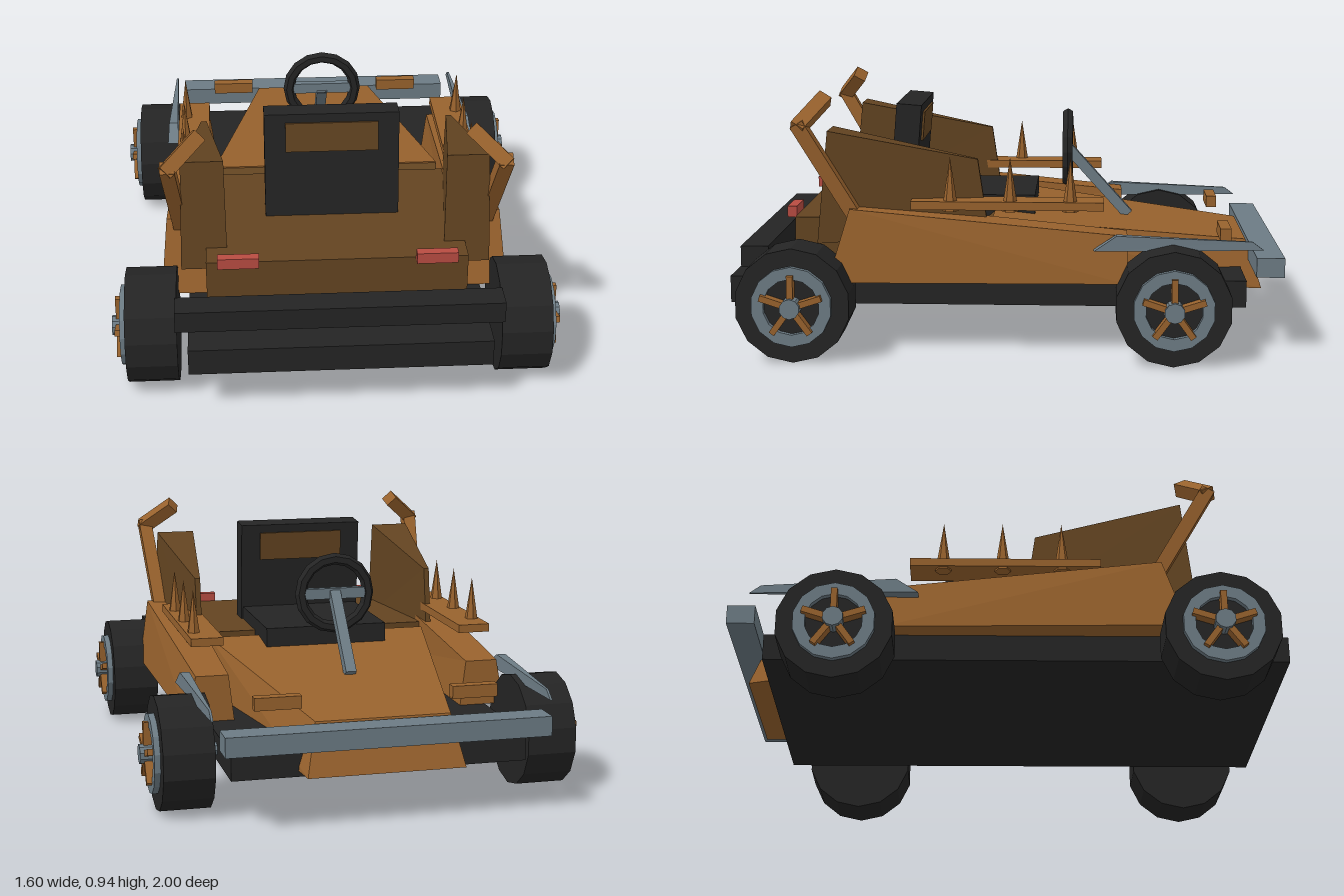
import * as THREE from 'three';

const mat = (name, color) => {
  const m = new THREE.MeshStandardMaterial({ color });
  m.name = name;
  return m;
};

export function createModel() {
  const rust = mat('rust orange', 0x98622d);
  const brown = mat('dark brown', 0x634421);
  const black = mat('black', 0x242424);
  const steel = mat('steel grey', 0x6c7b84);
  const red = mat('red', 0xb84c42);
  const model = new THREE.Group();
  model.name = 'buggy';

  // Faceted mesh
  const add = (name, geo, material, parent = model) => {
    const g = geo.index ? geo.toNonIndexed() : geo;
    g.computeVertexNormals();
    const mesh = new THREE.Mesh(g, material);
    mesh.name = name;
    parent.add(mesh);
    return mesh;
  };
  // Box given by its limits on each axis
  const box = (name, m, [x0, x1], [y0, y1], [z0, z1], parent) =>
    add(name, new THREE.BoxGeometry(Math.abs(x1 - x0), y1 - y0, z1 - z0)
      .translate((x0 + x1) / 2, (y0 + y1) / 2, (z0 + z1) / 2), m, parent);
  // Solid between two four-cornered sections, always facing outward
  const loft = (name, m, a, b, s = 1) => {
    const p = [...a, ...b].map(([x, y, z]) => new THREE.Vector3(x * s, y, z));
    const quads = [[3, 2, 1, 0], [4, 5, 6, 7]];
    for (let i = 0; i < 4; i++) quads.push([i, (i + 1) % 4, 4 + (i + 1) % 4, 4 + i]);
    let tris = quads.flatMap(([i, j, k, l]) => [[i, j, k], [i, k, l]]);
    const c = p.reduce((t, v) => t.add(v), new THREE.Vector3()).divideScalar(8);
    const vol = tris.reduce((t, f) => {
      const [u, v, w] = f.map(i => p[i].clone().sub(c));
      return t + u.dot(v.cross(w));
    }, 0);
    if (vol < 0) tris = tris.map(f => f.reverse());
    return add(name, new THREE.BufferGeometry().setFromPoints(tris.flat().map(i => p[i])), m);
  };
  // Straight bar between two points
  const bar = (name, m, from, to, r, sides = 4) => {
    const a = new THREE.Vector3(...from), b = new THREE.Vector3(...to), d = b.clone().sub(a);
    const g = new THREE.CylinderGeometry(r, r, d.length(), sides).rotateY(Math.PI / 4);
    g.applyQuaternion(new THREE.Quaternion().setFromUnitVectors(
      new THREE.Vector3(0, 1, 0), d.normalize()));
    g.translate(...a.add(b).multiplyScalar(0.5).toArray());
    return add(name, g, m);
  };

  // Chassis, body and bumpers
  box('chassis', black, [-0.527, 0.527], [0.165, 0.262], [-0.87, 1]);
  box('rearBumper', black, [-0.57, 0.57], [0.305, 0.383], [0.85, 0.95]);
  box('frontBumper', steel, [-0.57, 0.57], [0.285, 0.355], [-1, -0.9]);
  loft('hood', rust,
    [[-0.28, 0.18, -0.95], [0.28, 0.18, -0.95], [0.24, 0.36, -0.89], [-0.24, 0.36, -0.89]],
    [[-0.45, 0.25, 0.05], [0.45, 0.25, 0.05], [0.43, 0.465, 0.05], [-0.43, 0.465, 0.05]]);
  loft('cockpitStep', brown,
    [[-0.43, 0.26, 0.05], [0.43, 0.26, 0.05], [0.43, 0.46, 0.05], [-0.43, 0.46, 0.05]],
    [[-0.43, 0.26, 0.12], [0.43, 0.26, 0.12], [0.43, 0.4, 0.12], [-0.43, 0.4, 0.12]]);
  box('rearDeck', brown, [-0.46, 0.46], [0.262, 0.47], [0.12, 0.77]);

  // Seat, leaning slightly forward
  box('seatBase', black, [-0.235, 0.235], [0.4, 0.52], [-0.1, 0.36]);
  const seatBack = new THREE.Group();
  seatBack.name = 'seatBack';
  seatBack.position.set(0, 0.45, 0.405);
  seatBack.rotation.x = -0.08;
  model.add(seatBack);
  box('backrest', black, [-0.243, 0.243], [0, 0.412], [-0.047, 0.047], seatBack);
  box('headPad', brown, [-0.167, 0.167], [0.27, 0.38], [-0.055, 0.055], seatBack);

  // Steering
  add('steeringWheel', new THREE.TorusGeometry(0.13, 0.022, 6, 16)
    .translate(0, 0.67, -0.22), black);
  box('steeringCrossbar', steel, [-0.12, 0.12], [0.65, 0.69], [-0.235, -0.21]);
  bar('steeringColumn', steel, [0, 0.67, -0.22], [0, 0.41, -0.455], 0.028);

  for (const s of [1, -1]) {
    // Side pod with a spiked rail above it
    loft('sidePod', rust,
      [[0.43, 0.262, -0.44], [0.6, 0.262, -0.44], [0.57, 0.43, -0.44], [0.45, 0.43, -0.44]],
      [[0.43, 0.262, 0.63], [0.625, 0.262, 0.63], [0.6, 0.525, 0.55], [0.44, 0.525, 0.55]], s);
    box('spikeRail', rust, [s * 0.45, s * 0.57], [0.52, 0.55], [-0.355, 0.335]);
    for (const z of [0.195, -0.02, -0.235])
      add('spike', new THREE.ConeGeometry(0.03, 0.195, 6).translate(s * 0.54, 0.61, z), rust);

    // Rear wing, thin at the front
    loft('rearWing', brown,
      [[0.455, 0.42, 0.06], [0.475, 0.42, 0.06], [0.475, 0.69, 0.1], [0.455, 0.69, 0.1]],
      [[0.385, 0.39, 0.675], [0.55, 0.39, 0.675], [0.54, 0.797, 0.635], [0.39, 0.797, 0.635]], s);

    // Bent exhaust pipe
    bar('exhaustLower', rust, [s * 0.55, 0.5, 0.54], [s * 0.58, 0.83, 0.735], 0.036);
    bar('exhaustUpper', rust, [s * 0.59, 0.81, 0.735], [s * 0.47, 0.908, 0.65], 0.036);

    // Front fender blade
    loft('frontFender', steel,
      [[0.58, 0.385, -0.32], [0.625, 0.385, -0.32], [0.62, 0.44, -0.4], [0.585, 0.44, -0.4]],
      [[0.593, 0.39, -0.92], [0.601, 0.39, -0.92], [0.601, 0.42, -0.88], [0.593, 0.42, -0.88]], s);

    // Lamps
    box('frontLamp', rust, [s * 0.27, s * 0.435], [0.39, 0.435], [-0.82, -0.78]);
    box('tailLamp', red, [s * 0.275, s * 0.42], [0.463, 0.503], [0.77, 0.805]);

    // Wheels, built along y and turned to point outward
    for (const z of [0.737, -0.6]) {
      const wheel = new THREE.Group();
      wheel.name = 'wheel';
      wheel.position.set(0, 0.205, z);
      model.add(wheel);
      const outward = (g, x) => g.rotateY(Math.PI / 2).rotateZ(-s * Math.PI / 2).translate(s * x, 0, 0);
      add('tyre', outward(new THREE.CylinderGeometry(0.205, 0.205, 0.18, 14), 0.655), black, wheel);
      const ring = [[0.1, 0], [0.143, 0], [0.143, 0.022], [0.1, 0.022], [0.1, 0]]
        .map(([r, h]) => new THREE.Vector2(r, h));
      add('rim', outward(new THREE.LatheGeometry(ring, 14), 0.744), steel, wheel);
      add('hub', outward(new THREE.CylinderGeometry(0.036, 0.036, 0.06, 10), 0.77), steel, wheel);
      add('axle', outward(new THREE.CylinderGeometry(0.024, 0.024, 0.1, 8), 0.54), steel, wheel);
      for (let i = 0; i < 5; i++)
        add('spoke', new THREE.BoxGeometry(0.04, 0.088, 0.022).translate(s * 0.765, 0.07, 0)
          .rotateX(i * Math.PI * 0.4), rust, wheel);
    }
  }
  return model;
}
